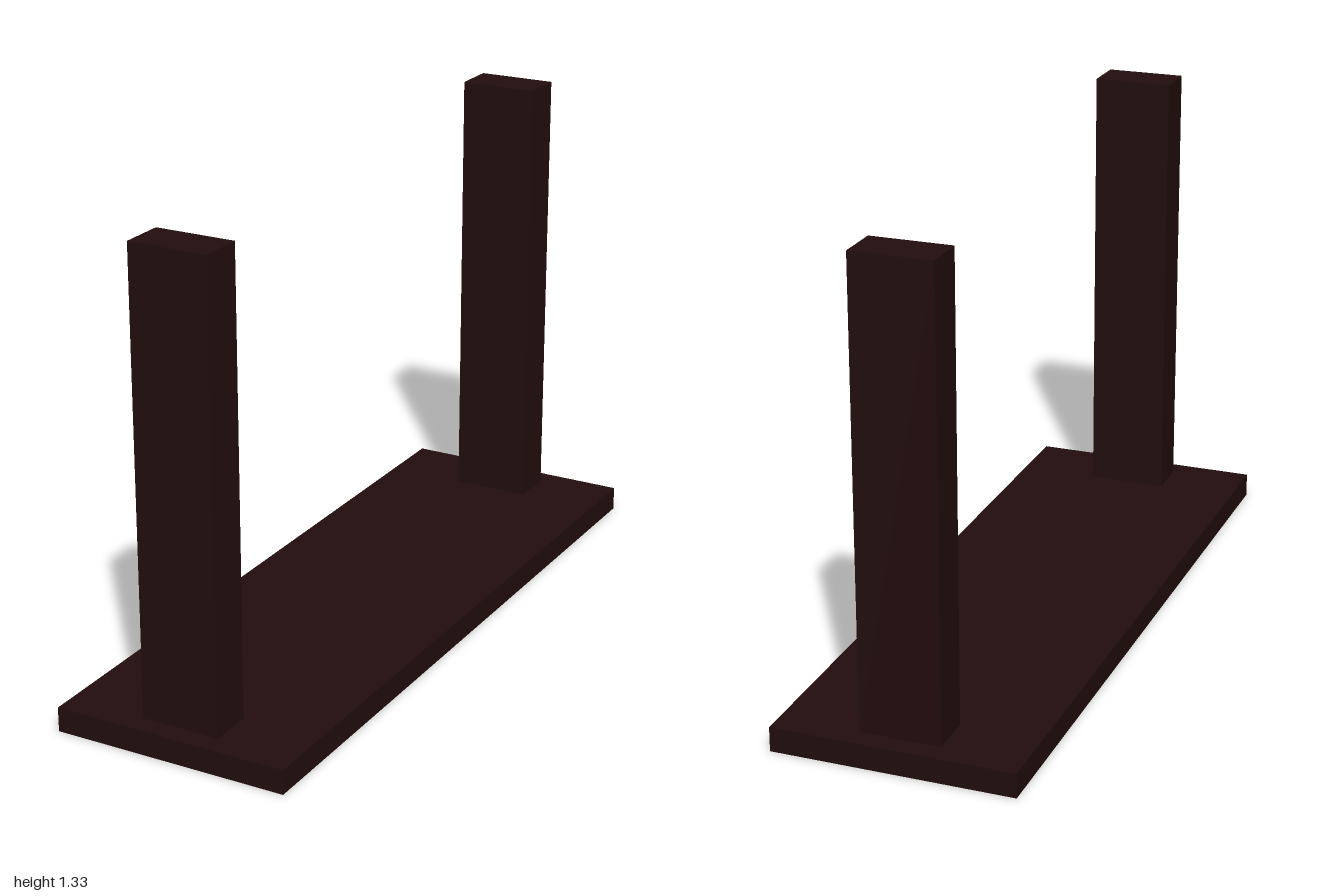
import * as THREE from 'three';

export function createModel() {
  const model = new THREE.Group();
  const darkWood = new THREE.MeshStandardMaterial({ color: 0x220d0d });
  darkWood.name = 'dark wood';

  // Box standing on the given height
  const addBlock = (name, width, height, depth, bottom, z) => {
    const mesh = new THREE.Mesh(new THREE.BoxGeometry(width, height, depth), darkWood);
    mesh.name = name;
    mesh.position.set(0, bottom + height / 2, z);
    model.add(mesh);
  };

  // Flat plank base
  const baseHeight = 0.068;
  addBlock('base', 0.667, baseHeight, 2, 0, 0);

  // Upright post near each end
  for (const [name, side] of [['frontPost', 1], ['backPost', -1]]) {
    addBlock(name, 0.222, 1.333 - baseHeight, 0.124, baseHeight, side * 0.88);
  }

  return model;
}
